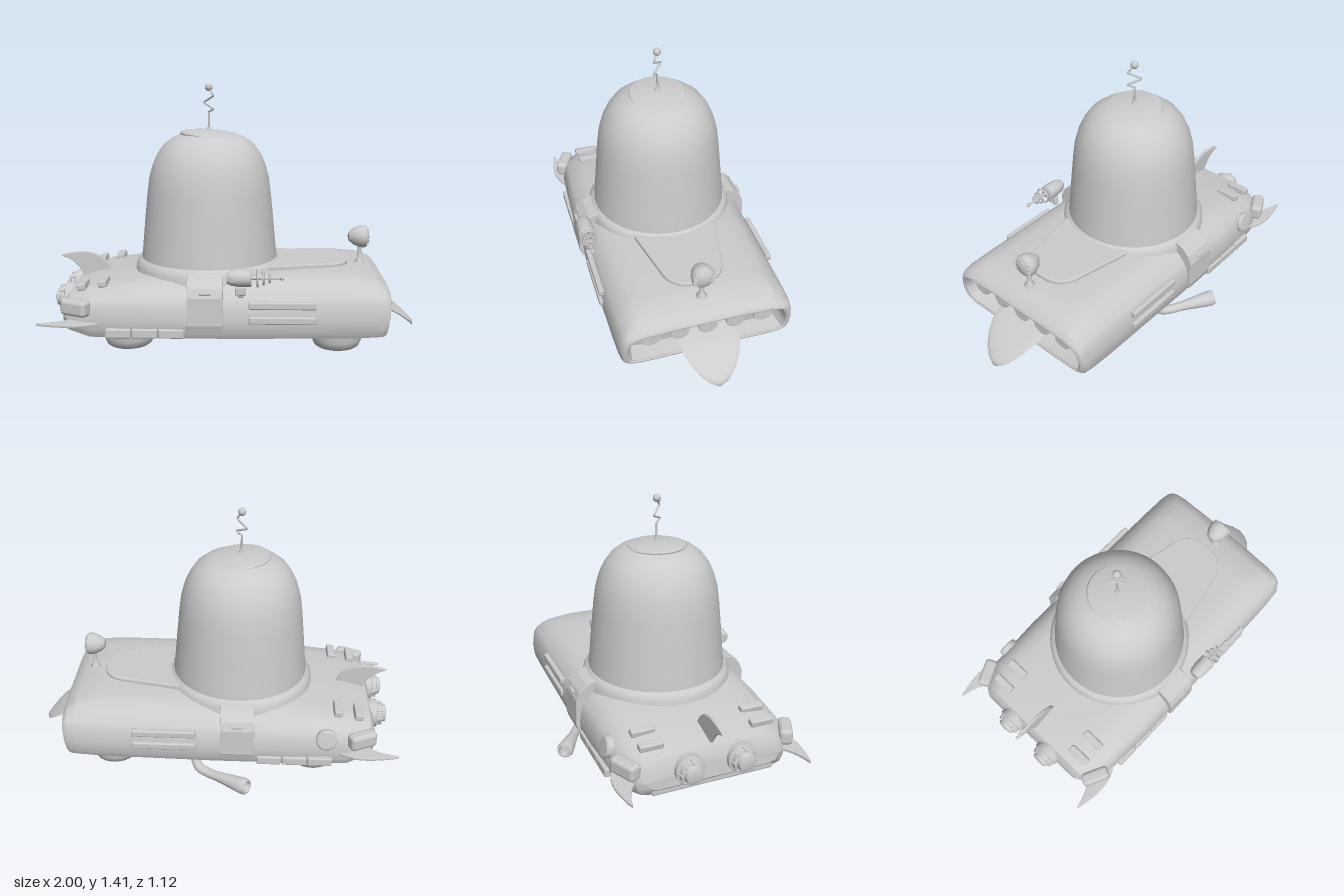
import * as THREE from 'three';
import { toCreasedNormals } from 'three/addons/utils/BufferGeometryUtils.js';
import { RoundedBoxGeometry } from 'three/addons/geometries/RoundedBoxGeometry.js';

const mat = new THREE.MeshStandardMaterial({ color: 0xcccccc, roughness: 0.7 });
const V2 = (p) => new THREE.Vector2(p[0], p[1]);
const V3 = (p) => new THREE.Vector3(p[0], p[1], p[2]);

function add(parent, name, geo, pos = [0, 0, 0], rot = [0, 0, 0]) {
  const m = new THREE.Mesh(geo, mat);
  m.name = name;
  m.position.set(...pos);
  m.rotation.set(...rot);
  parent.add(m);
  return m;
}
const lathe = (pts, seg = 32, crease = 0.6) => toCreasedNormals(new THREE.LatheGeometry(pts.map(V2), seg), crease);
const box = (w, h, d, r = 0.008) => new RoundedBoxGeometry(w, h, d, 2, r);

// Extruded outline, centred on its thickness
function plate(shape, depth, bevel = 0.004) {
  const g = new THREE.ExtrudeGeometry(shape, {
    depth: depth - 2 * bevel, bevelThickness: bevel, bevelSize: bevel, bevelSegments: 2, curveSegments: 10,
  });
  return g.translate(0, 0, bevel - depth / 2);
}

// Skin over closed rings that advance along +x, capped at both ends
function loft(rings, crease) {
  const n = rings[0].length, pos = [], idx = [];
  rings.forEach((r) => r.forEach((p) => pos.push(...p)));
  for (let i = 0; i < rings.length - 1; i++) {
    for (let j = 0; j < n; j++) {
      const a = i * n + j, b = i * n + (j + 1) % n;
      idx.push(a, a + n, b, b, a + n, b + n);
    }
  }
  [0, rings.length - 1].forEach((k) => {
    const c = pos.length / 3;
    pos.push(...[0, 1, 2].map((q) => rings[k].reduce((s, p) => s + p[q], 0) / n));
    for (let j = 0; j < n; j++) {
      const a = k * n + j, b = k * n + (j + 1) % n;
      if (k === 0) idx.push(c, a, b); else idx.push(c, b, a);
    }
  });
  const g = new THREE.BufferGeometry();
  g.setAttribute('position', new THREE.Float32BufferAttribute(pos, 3));
  g.setIndex(idx);
  return toCreasedNormals(g, crease);
}

// Body cross-section: half width w, floor b, shoulder s, roof t; k leans it forward
function section([x, w, b, s, t, k = 0]) {
  const half = [
    [w - 0.06, b], [w - 0.02, b + 0.012], [w - 0.004, b + 0.045], [w, (b + s) / 2], [w - 0.012, s - 0.03],
    [w - 0.03, s], [w - 0.065, s + (t - s) * 0.45], [w - 0.11, s + (t - s) * 0.8], [w - 0.17, t - 0.006], [w - 0.24, t],
  ];
  const loop = [[0, b], ...half, [0, t], ...half.slice().reverse().map(([z, y]) => [-z, y])];
  return loop.map(([z, y]) => [x + k * (y - 0.26), y, z]);
}

export function createModel() {
  const model = new THREE.Group();
  model.name = 'hoverCar';
  const car = new THREE.Group();
  car.name = 'car';
  car.rotation.y = 0.044;
  car.position.z = 0.025;
  model.add(car);

  // Body shell, ending in a recessed mouth
  add(car, 'body', loft([
    [-0.87, 0.36, 0.19, 0.28, 0.31, 0.1], [-0.845, 0.40, 0.15, 0.30, 0.35], [-0.72, 0.46, 0.13, 0.33, 0.385],
    [-0.4, 0.475, 0.13, 0.345, 0.425], [0, 0.475, 0.13, 0.35, 0.44], [0.6, 0.468, 0.135, 0.36, 0.445],
    [0.73, 0.465, 0.14, 0.36, 0.432, 0.05], [0.78, 0.46, 0.142, 0.35, 0.4, 0.1], [0.8, 0.45, 0.148, 0.335, 0.372, 0.12],
    [0.8, 0.425, 0.168, 0.325, 0.352, 0.12], [0.71, 0.41, 0.18, 0.318, 0.345, 0.1],
  ].map(section), 0.55));
  const lip = section([0.795, 0.437, 0.158, 0.33, 0.362, 0.12]).map(V3);
  add(car, 'mouthRim', new THREE.TubeGeometry(new THREE.CatmullRomCurve3(lip, true), 90, 0.011, 8, true));

  // Upper teeth
  for (let i = -2; i <= 2; i++) {
    const tooth = new THREE.Shape();
    tooth.moveTo(-0.047, 0.352);
    tooth.lineTo(-0.047, 0.295);
    tooth.bezierCurveTo(-0.04, 0.245, 0.04, 0.245, 0.047, 0.295);
    tooth.lineTo(0.047, 0.352);
    add(car, 'tooth', plate(tooth, 0.02), [0.775, 0, i * 0.15], [0, Math.PI / 2, 0]);
  }

  // Tongue
  const tongue = [[0.7, 0.25, 0.16], [0.78, 0.24, 0.165], [0.85, 0.207, 0.155], [0.91, 0.17, 0.127],
    [0.955, 0.135, 0.092], [0.985, 0.108, 0.052], [0.998, 0.094, 0.015]];
  add(car, 'tongue', loft(tongue.map(([x, y, w]) => Array.from({ length: 20 }, (_, j) => {
    const a = (j / 20) * Math.PI * 2;
    const z = w * Math.sin(a);
    return [x, y - 0.014 * Math.cos(a) + 0.3 * z * z, z];
  })), 1.2));

  // Dome with its flared collar and tilted cap
  add(car, 'dome', lathe([[0.375, 0.39], [0.372, 0.46], [0.365, 0.52], [0.35, 0.68], [0.336, 0.82], [0.324, 0.91],
    [0.305, 0.98], [0.28, 1.035], [0.245, 1.085], [0.2, 1.12], [0.15, 1.142], [0, 1.155]], 48), [-0.13, 0, 0]);
  add(car, 'domeCollar', lathe([[0.405, 0.39], [0.4, 0.44], [0.388, 0.462], [0.372, 0.475], [0.36, 0.475]], 48), [-0.13, 0, 0]);
  add(car, 'domeCap', lathe([[0.15, -0.02], [0.157, 0], [0.15, 0.01], [0.1, 0.02], [0, 0.026]], 40),
    [-0.13, 1.138, 0], [0, 0, -0.06]);

  // Zigzag antenna
  const zig = [[0, 1.15, 0], [0, 1.26, 0], [0.028, 1.275, 0.03], [-0.03, 1.308, -0.03], [0.026, 1.345, 0.025], [0, 1.39, 0]];
  const path = new THREE.CurvePath();
  zig.slice(1).forEach((p, i) => path.add(new THREE.LineCurve3(V3(zig[i]), V3(p))));
  add(car, 'antenna', new THREE.TubeGeometry(path, 60, 0.0055, 8), [-0.13, 0, 0]);
  add(car, 'antennaBase', new THREE.CylinderGeometry(0.01, 0.016, 0.02, 16), [-0.13, 1.168, 0]);
  add(car, 'antennaBall', new THREE.SphereGeometry(0.021, 20, 14), [-0.13, 1.39, 0]);

  // Hood panel
  const hood = new THREE.Shape();
  hood.moveTo(0.2, -0.22);
  hood.lineTo(0.52, -0.155);
  hood.bezierCurveTo(0.6, -0.13, 0.62, -0.08, 0.62, 0);
  hood.bezierCurveTo(0.62, 0.08, 0.6, 0.13, 0.52, 0.155);
  hood.lineTo(0.2, 0.22);
  add(car, 'hoodPanel', plate(hood, 0.03, 0.008), [0, 0.45, 0], [Math.PI / 2, 0, 0]);

  // Hood lamp on a stalk
  add(car, 'lampStalk', lathe([[0.034, 0.41], [0.03, 0.435], [0.014, 0.46], [0.01, 0.5], [0.013, 0.55]], 20), [0.695, 0, 0.01]);
  const lamp = lathe([[0, 0], [0.022, 0.005], [0.045, 0.03], [0.058, 0.06], [0.062, 0.085], [0.058, 0.1], [0.04, 0.112], [0, 0.118]], 28);
  add(car, 'lamp', lamp.rotateZ(-Math.PI / 2), [0.628, 0.583, 0.01]);
  for (const y of [-0.033, -0.011, 0.011, 0.033])
    add(car, 'lampBar', box(0.016, 0.008, 2 * Math.sqrt(0.0034 - y * y), 0.003), [0.736 - Math.abs(y) * 0.2, 0.583 + y, 0.01]);

  // Outline of the strap that climbs each side to the dome
  const strap = new THREE.Shape([[0.44, 0.185], [0.482, 0.185], [0.492, 0.22], [0.488, 0.36], [0.47, 0.405],
    [0.43, 0.445], [0.39, 0.458], [0.33, 0.458], [0.33, 0.4], [0.44, 0.34]].map(V2));
  const finShape = new THREE.Shape();
  finShape.moveTo(-0.65, 0.44);
  finShape.quadraticCurveTo(-0.72, 0.5, -0.82, 0.5);
  finShape.quadraticCurveTo(-0.91, 0.495, -0.98, 0.473);
  finShape.quadraticCurveTo(-0.87, 0.46, -0.8, 0.38);

  for (const s of [1, -1]) {
    add(car, 'sideStrap', plate(strap, 0.18), [-0.13, 0, 0], [0, -s * Math.PI / 2, 0]);
    add(car, 'strapHandle', box(0.06, 0.016, 0.02, 0.005), [-0.13, 0.385, s * 0.485]);
    for (const y of [0.245, 0.322]) add(car, 'sideVent', box(0.34, 0.038, 0.03), [0.26, y, s * 0.471]);
    for (const i of [0, 1, 2]) add(car, 'sideTrim', box(0.13, 0.048, 0.035), [-0.57 + i * 0.135, 0.172, s * 0.468]);
    for (const x of [-0.775, -0.665])
      add(car, 'deckVent', box(0.045, 0.035, 0.125), [x, x < -0.7 ? 0.378 : 0.396, s * 0.3], [-0, 0, 0.16]);
    add(car, 'cornerLight', box(0.155, 0.085, 0.07, 0.022), [-0.79, 0.295, s * 0.436], [0, -s * 0.45, 0]);
    add(car, 'sideFin', plate(finShape, 0.016), [0, 0.215, 0], [s * Math.PI / 2, 0, 0]);

    // Ribbed tail lights
    const light = add(car, 'tailLight', lathe([[0.07, -0.03], [0.078, 0.02], [0.078, 0.035], [0.064, 0.04], [0.062, 0.062],
      [0.05, 0.066], [0.045, 0.085], [0.03, 0.09], [0, 0.09]], 28), [-0.86, 0.268, s * 0.14], [0, 0, Math.PI / 2]);
    for (let i = 0; i < 8; i++) {
      const a = (i / 8) * Math.PI * 2;
      add(light, 'lightRib', box(0.012, 0.05, 0.012, 0.003), [0.064 * Math.cos(a), 0.045, 0.064 * Math.sin(a)], [0, -a, 0.25]);
    }

    // Hover pads
    for (const x of [-0.54, 0.55])
      add(car, 'hoverPad', lathe([[0, 0.1], [0.06, 0.098], [0.078, 0.085], [0.086, 0.06], [0.105, 0.058], [0.118, 0.068],
        [0.132, 0.1], [0.135, 0.145]], 32), [x, 0, s * 0.28]);
  }

  // Tail fin
  const tail = new THREE.Shape();
  tail.moveTo(-0.68, 0.38);
  tail.quadraticCurveTo(-0.71, 0.475, -0.82, 0.483);
  tail.quadraticCurveTo(-0.89, 0.482, -0.95, 0.464);
  tail.quadraticCurveTo(-0.86, 0.445, -0.82, 0.34);
  add(car, 'tailFin', plate(tail, 0.018));
  add(car, 'rearBumper', box(0.04, 0.05, 0.66, 0.012), [-0.85, 0.175, 0]);

  // Filler cap on the right flank
  add(car, 'fillerCap', lathe([[0.056, -0.02], [0.056, 0.008], [0.048, 0.015], [0, 0.017]], 28), [-0.6, 0.305, -0.463], [-1.35, 0, 0]);

  // Ray gun on the left shoulder
  const gun = new THREE.Group();
  gun.name = 'rayGun';
  gun.position.set(0, 0.465, 0.473);
  car.add(gun);
  add(gun, 'gunBody', lathe([[0, -0.02], [0.028, -0.018], [0.038, 0], [0.044, 0.04], [0.044, 0.1], [0.036, 0.105], [0, 0.105]], 24),
    [0, 0, 0], [0, 0, -Math.PI / 2]);
  add(gun, 'gunBarrel', new THREE.CylinderGeometry(0.006, 0.009, 0.16, 12), [0.175, 0, 0], [0, 0, -Math.PI / 2]);
  [[0.135, 0.042], [0.165, 0.032], [0.195, 0.02]].forEach(([x, r]) => {
    add(gun, 'gunRing', new THREE.TorusGeometry(r, 0.005, 8, 24), [x, 0, 0], [0, Math.PI / 2, 0]);
    for (const a of [0, Math.PI / 2]) add(gun, 'ringSpoke', new THREE.CylinderGeometry(0.003, 0.003, 2 * r, 6), [x, 0, 0], [a, 0, 0]);
  });
  add(gun, 'gunTip', new THREE.SphereGeometry(0.011, 12, 8), [0.255, 0, 0]);
  add(gun, 'gunMount', box(0.03, 0.09, 0.03), [0.05, -0.06, -0.01], [0.2, 0, 0]);
  add(gun, 'gunFoot', box(0.055, 0.045, 0.03), [0.05, -0.065, 0.005]);

  // Exhaust pipe with a flared muzzle, under the right side
  const pipe = [[0.1, 0.15, -0.35], [0.1, 0.085, -0.36], [0.08, 0.042, -0.385], [0.03, 0.032, -0.42], [-0.02, 0.035, -0.452]];
  add(car, 'exhaustPipe', new THREE.TubeGeometry(new THREE.CatmullRomCurve3(pipe.map(V3)), 30, 0.026, 16));
  add(car, 'pipeFlange', new THREE.CylinderGeometry(0.036, 0.036, 0.03, 20), [0.1, 0.125, -0.352]);
  const from = V3([0, 0.034, -0.44]), to = V3([-0.19, 0.052, -0.56]);
  const muzzle = add(car, 'exhaustMuzzle', lathe([[0.024, 0], [0.029, 0.06], [0.042, 0.17], [0.045, 0.205], [0.04, 0.222],
    [0.031, 0.224], [0.026, 0.19], [0, 0.185]], 24));
  muzzle.position.copy(from);
  muzzle.quaternion.setFromUnitVectors(new THREE.Vector3(0, 1, 0), to.sub(from).normalize());

  return model;
}
